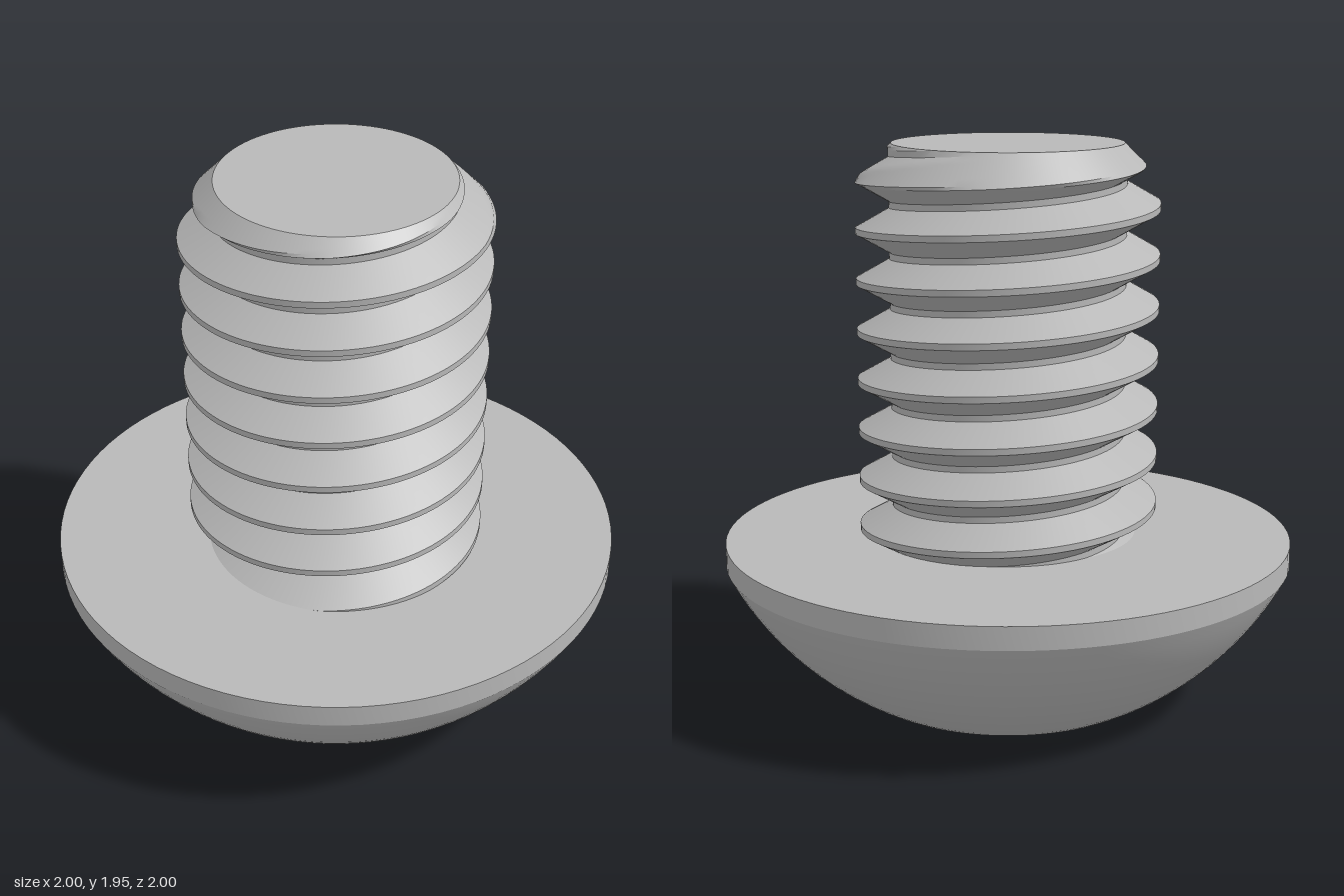
import * as THREE from 'three';
import { toCreasedNormals } from 'three/addons/utils/BufferGeometryUtils.js';

const SEG = 96;
const HEAD_TOP = 0.56, TOP = 1.945;
const PITCH = 0.175, CREST = 0.525, ROOT = 0.41, TIP = 0.4;
const FLAT = 0.011; // half width of the crest and root flats
const RIM = 0.405, APOTHEM = 0.351, SOCKET_DEPTH = 0.39;

// Surface around the y axis; point(angle, row) returns [radius, y].
// Rows running upwards face outwards.
function revolve(rows, point, crease) {
  const positions = [], index = [];
  for (let j = 0; j < rows; j++) {
    for (let i = 0; i <= SEG; i++) {
      const a = (i / SEG) * Math.PI * 2;
      const [r, y] = point(a, j);
      positions.push(r * Math.cos(a), y, -r * Math.sin(a));
    }
  }
  const corner = (k) => new THREE.Vector3().fromArray(positions, k * 3);
  const addFace = (a, b, c) => {
    const A = corner(a);
    const area = corner(b).sub(A).cross(corner(c).sub(A)).length();
    if (area > 1e-9) index.push(a, b, c); // drop collapsed faces
  };
  for (let j = 0; j < rows - 1; j++) {
    for (let i = 0; i < SEG; i++) {
      const a = j * (SEG + 1) + i, d = a + SEG + 1;
      addFace(a, a + 1, d + 1);
      addFace(a, d + 1, d);
    }
  }
  const geometry = new THREE.BufferGeometry();
  geometry.setAttribute('position', new THREE.Float32BufferAttribute(positions, 3));
  geometry.setIndex(index);
  return toCreasedNormals(geometry, crease);
}

// Domed head: flat underside, spherical dome, short rim, flat bearing face
function headGeometry() {
  const centre = 0.994, radius = 1.124;
  const profile = [new THREE.Vector2(RIM, 0)];
  for (let i = 0; i <= 14; i++) {
    const t = THREE.MathUtils.lerp(Math.asin(0.525 / radius), Math.asin(1 / radius), i / 14);
    profile.push(new THREE.Vector2(radius * Math.sin(t), Math.max(0, centre - radius * Math.cos(t))));
  }
  profile.push(new THREE.Vector2(1, HEAD_TOP), new THREE.Vector2(0, HEAD_TOP));
  return toCreasedNormals(new THREE.LatheGeometry(profile, SEG), 0.4);
}

// Hexagonal socket with a conical lead-in, corners on the x axis
function socketGeometry() {
  const side = Math.PI / 3;
  return revolve(4, (a, row) => {
    const hex = APOTHEM / Math.cos((a % side) - side / 2);
    if (row === 0) return [0, SOCKET_DEPTH];
    if (row === 1) return [hex, SOCKET_DEPTH];
    if (row === 2) return [hex, Math.max(0, RIM - hex)];
    return [RIM, 0];
  }, 0.4);
}

// Right-handed thread, cut off by the head below and by a 45 degree chamfer above
function threadGeometry() {
  const offsets = [], steps = 6, half = PITCH / 2;
  for (let i = 0; i <= steps; i++) {
    offsets.push(FLAT + ((half - 2 * FLAT) * i) / steps);
  }
  for (let i = steps; i >= 0; i--) offsets.push(PITCH - offsets[i]);
  const turns = 11, start = 1.8 - 9 * PITCH;

  return revolve(turns * offsets.length, (a, row) => {
    const base = start + (PITCH * a) / (Math.PI * 2);
    const turn = Math.floor(row / offsets.length);
    const y = THREE.MathUtils.clamp(
      base + turn * PITCH + offsets[row % offsets.length], HEAD_TOP, TOP);
    // Distance from the nearest crest decides the radius
    const phase = THREE.MathUtils.euclideanModulo(y - base, PITCH);
    const distance = Math.min(phase, PITCH - phase);
    const slope = THREE.MathUtils.clamp((distance - FLAT) / (half - 2 * FLAT), 0, 1);
    const r = THREE.MathUtils.lerp(CREST, ROOT, slope);
    return [Math.min(r, TIP + TOP - y), y];
  }, 0.4);
}

export function createModel() {
  const steel = new THREE.MeshStandardMaterial({ color: 0xb8b8b8 });
  steel.name = 'steel grey';

  const group = new THREE.Group();
  group.name = 'buttonHeadScrew';
  const add = (name, geometry) => {
    const mesh = new THREE.Mesh(geometry, steel);
    mesh.name = name;
    group.add(mesh);
    return mesh;
  };

  add('head', headGeometry());
  add('hexSocket', socketGeometry());
  add('threadedShank', threadGeometry());

  // Flat end of the shank
  const end = add('shankEnd', new THREE.CircleGeometry(TIP, SEG));
  end.rotation.x = -Math.PI / 2;
  end.position.y = TOP;

  return group;
}
